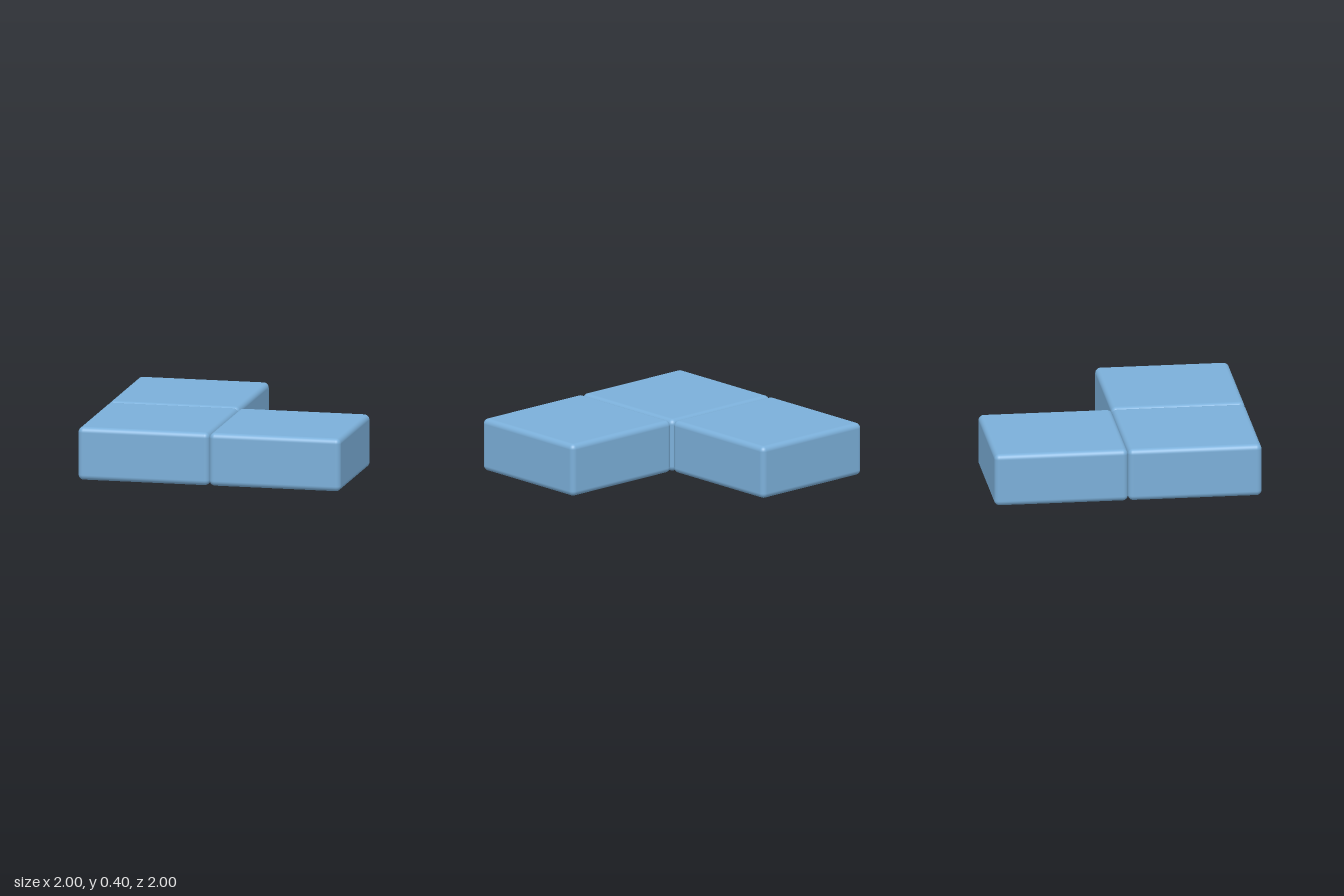
import * as THREE from 'three';
import { RoundedBoxGeometry } from 'three/addons/geometries/RoundedBoxGeometry.js';

export function createModel() {
  const model = new THREE.Group();
  model.name = 'cornerPiece';

  const blue = new THREE.MeshStandardMaterial({ color: 0x7bafd9 });
  blue.name = 'softBlue';

  // One rounded slab, repeated in an L
  const slab = new RoundedBoxGeometry(1, 0.4, 1, 5, 0.04);
  const slabs = [
    ['cornerBlock', -0.5, 0.5],
    ['leftBlock', 0.5, 0.5],
    ['backBlock', -0.5, -0.5],
  ];
  for (const [name, x, z] of slabs) {
    const mesh = new THREE.Mesh(slab, blue);
    mesh.name = name;
    mesh.position.set(x, 0.2, z);
    model.add(mesh);
  }
  return model;
}
